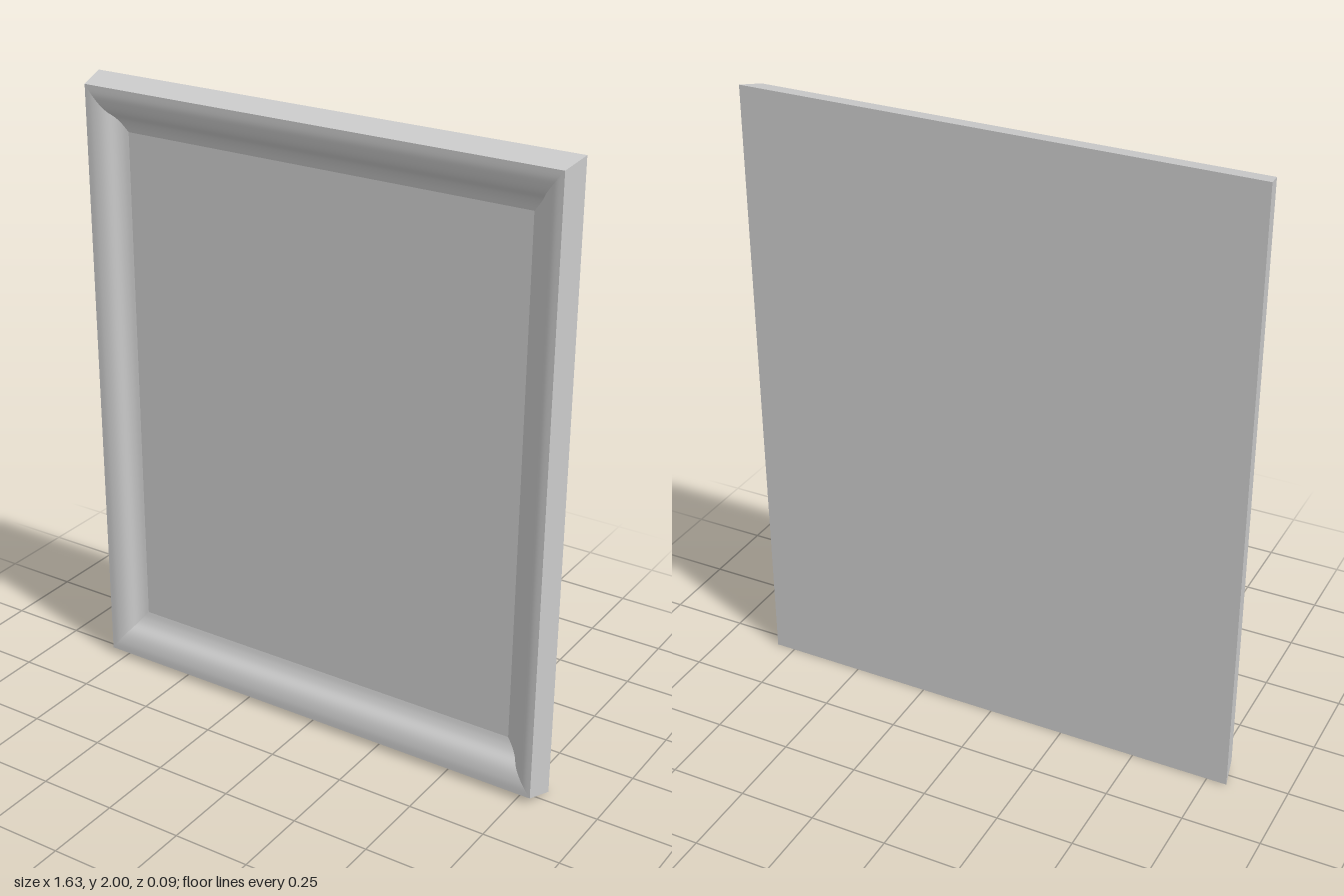
import * as THREE from 'three';

const material = new THREE.MeshStandardMaterial({ color: 0xcccccc });
const corners = [[-1, -1], [1, -1], [1, 1], [-1, 1]];

// One mitred rail: a surface through concentric rectangles [halfWidth, halfHeight, z],
// listed from the outside in.
function rail(rings, side) {
  const positions = [], index = [];
  const ends = [corners[side], corners[(side + 1) % 4]];
  rings.forEach(([w, h, z], i) => {
    for (const [sx, sy] of ends) positions.push(sx * w, sy * h, z);
    if (i > 0) {
      const a = 2 * (i - 1);
      index.push(a, a + 1, a + 3, a, a + 3, a + 2);
    }
  });
  const geometry = new THREE.BufferGeometry();
  geometry.setAttribute('position', new THREE.Float32BufferAttribute(positions, 3));
  geometry.setIndex(index);
  geometry.computeVertexNormals();
  return geometry;
}

export function createModel() {
  const group = new THREE.Group();
  const add = (name, geometry) => {
    const mesh = new THREE.Mesh(geometry, material);
    mesh.name = name;
    mesh.position.y = 1;
    group.add(mesh);
    return mesh;
  };

  const back = [0.815, 1, -0.045];
  const rim = [0.797, 0.978, 0.045];
  const opening = [0.685, 0.833, -0.015];

  // Moulding profile: x is the share of the way inwards, y the depth
  const profile = new THREE.SplineCurve([
    [0, 0.045], [0.2, 0.044], [0.4, 0.037], [0.55, 0.025],
    [0.7, 0.003], [0.85, -0.009], [1, -0.015],
  ].map(([t, z]) => new THREE.Vector2(t, z)));
  const moulding = profile.getPoints(24).map(({ x: t, y: z }) => [
    THREE.MathUtils.lerp(rim[0], opening[0], t),
    THREE.MathUtils.lerp(rim[1], opening[1], t),
    z,
  ]);

  // Four rails, each with a curved moulding and a slanted outer edge
  ['bottom', 'left', 'top', 'right'].forEach((name, side) => {
    add(name + 'Moulding', rail(moulding, side));
    add(name + 'OuterEdge', rail([back, rim], side));
  });

  // Recessed picture panel
  add('picturePanel', new THREE.PlaneGeometry(2 * opening[0], 2 * opening[1]))
    .position.z = opening[2];

  // Flat backing board
  const board = add('backBoard', new THREE.PlaneGeometry(2 * back[0], 2 * back[1]));
  board.position.z = back[2];
  board.rotation.y = Math.PI;

  return group;
}
